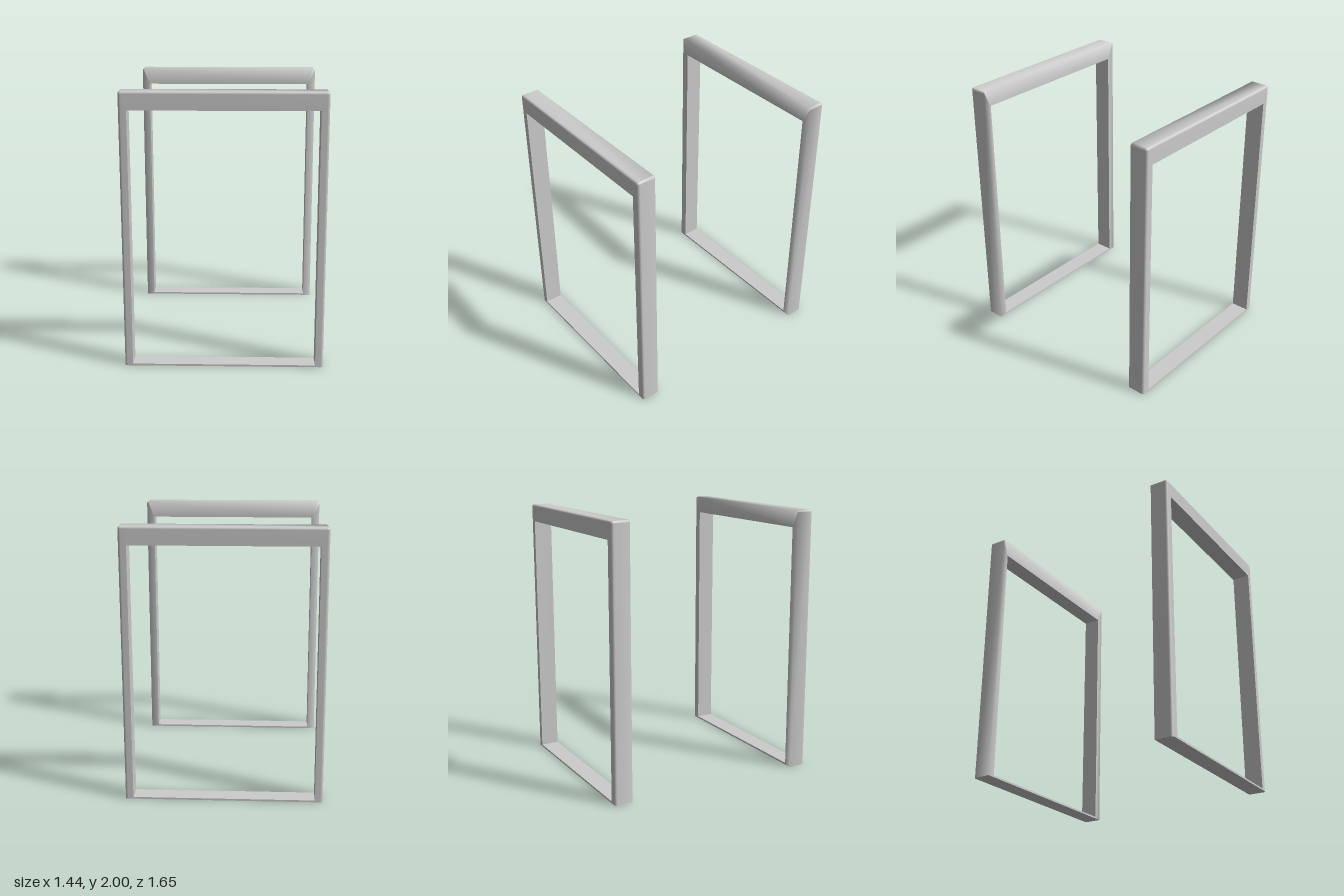
import * as THREE from 'three';

const W = 0.72, H = 2;                 // outer half width and height of a frame
const IN_X = 0.662, IN_Y = 1.87;       // opening half width and height
const Z_IN = 0.69, Z_OUT = 0.826;      // depth range of a frame
const R = 0.018, STEPS = 4;            // radius of the rounded outer edges
const SILL = 0.014;

// Stations along the frame: left foot, rounded corners, right foot
function stations(steps) {
  const list = [{ cx: -W + R, cy: 0, a: Math.PI, ix: -IN_X, iy: 0 }];
  for (const side of [-1, 1]) {
    for (let k = 0; k <= steps; k++) {
      const t = steps ? k / steps : 0.5;
      const a = (side < 0 ? Math.PI : Math.PI / 2) - t * Math.PI / 2;
      list.push({ cx: side * (W - R), cy: H - R, a, ix: side * IN_X, iy: IN_Y });
    }
  }
  list.push({ cx: W - R, cy: 0, a: 0, ix: IN_X, iy: 0 });
  return list;
}

// Cross-section: inset from the outer edge (null = edge of the opening) and depth
const casing = [{ d: null, z: Z_OUT }];
for (let k = 0; k <= STEPS; k++) {
  const a = (k / STEPS) * Math.PI / 2;
  casing.push({ d: R * (1 - Math.sin(a)), z: Z_OUT - R * (1 - Math.cos(a)) });
}
casing.push({ d: 0, z: Z_IN }, { d: null, z: Z_IN });
const lining = [{ d: null, z: Z_IN }, { d: null, z: Z_OUT }];

function place(s, p) {
  if (p.d === null) return [s.ix, s.iy, p.z];
  return [s.cx + (R - p.d) * Math.cos(s.a), s.cy + (R - p.d) * Math.sin(s.a), p.z];
}

// Sweep a cross-section along the stations
function sweep(path, profile) {
  const pos = [], index = [], n = profile.length;
  path.forEach((s, i) => profile.forEach((p, j) => {
    pos.push(...place(s, p));
    if (i < path.length - 1 && j < n - 1) {
      const a = i * n + j, b = a + n;
      index.push(a, b, a + 1, b, b + 1, a + 1);
    }
  }));
  const g = new THREE.BufferGeometry();
  g.setAttribute('position', new THREE.Float32BufferAttribute(pos, 3));
  g.setIndex(index);
  return g;
}

function createFrame(name, material, thinMaterial) {
  const frame = new THREE.Group();
  frame.name = name;
  const add = (geometry, part, mat = material) => {
    const mesh = new THREE.Mesh(geometry, mat);
    mesh.name = part;
    frame.add(mesh);
    return mesh;
  };

  // Jambs and head, softly shaded around the outside
  const path = stations(STEPS);
  const shell = sweep(path, casing);
  shell.computeVertexNormals();
  add(shell, 'jambsAndHead');

  // Inside of the opening, with sharp corners
  const inner = sweep(stations(0), lining).toNonIndexed();
  inner.computeVertexNormals();
  add(inner, 'openingLining');

  // Flat ends of the jambs
  for (const [s, part] of [[path[0], 'rightFoot'], [path[path.length - 1], 'leftFoot']]) {
    const outline = casing.map(p => {
      const [x, , z] = place(s, p);
      return new THREE.Vector2(x, z);
    });
    const foot = new THREE.ShapeGeometry(new THREE.Shape(outline));
    foot.rotateX(Math.PI / 2);
    add(foot, part, thinMaterial);
  }

  // Thin sill between the jambs
  const sill = add(new THREE.BoxGeometry(2 * IN_X, SILL, Z_OUT - Z_IN), 'sill');
  sill.position.set(0, SILL / 2, (Z_IN + Z_OUT) / 2);
  return frame;
}

export function createModel() {
  const group = new THREE.Group();
  group.name = 'doorFrames';
  const material = new THREE.MeshStandardMaterial({ color: 0xcccccc });
  const thin = new THREE.MeshStandardMaterial({ color: 0xcccccc, side: THREE.DoubleSide });
  const front = createFrame('frontFrame', material, thin);
  const back = createFrame('backFrame', material, thin);
  back.rotation.y = Math.PI;
  group.add(front, back);
  return group;
}
